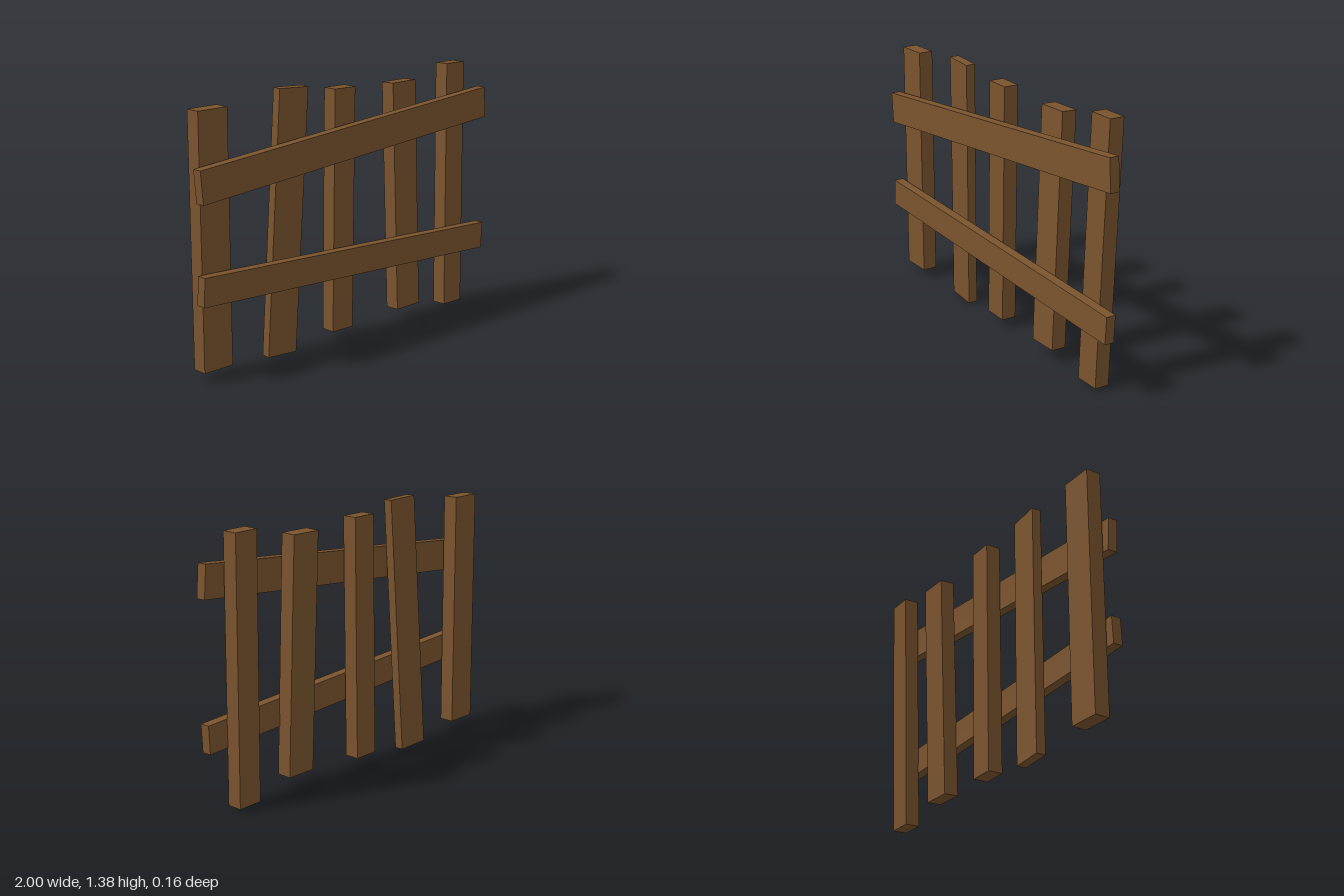
import * as THREE from 'three';

const wood = new THREE.MeshStandardMaterial({ color: 0x7a542e });
wood.name = 'brown wood';

// one sawn board: size, centre and small tilt
function board(name, size, centre, tilt) {
  const mesh = new THREE.Mesh(new THREE.BoxGeometry(...size), wood);
  mesh.name = name;
  mesh.position.set(...centre);
  mesh.rotation.set(...tilt);
  return mesh;
}

export function createModel() {
  const group = new THREE.Group();
  group.name = 'fence';

  // uneven upright pickets, from the fence's right to its left
  const pickets = [
    [[0.174, 1.278, 0.08], [-0.87, 0.695, -0.02], [0, 0, 0]],
    [[0.177, 1.37, 0.05], [-0.4, 0.693, -0.018], [0.027, -0.06, -0.044]],
    [[0.139, 1.278, 0.08], [-0.027, 0.694, -0.022], [0, -0.02, -0.014]],
    [[0.17, 1.234, 0.08], [0.432, 0.695, -0.018], [-0.036, 0, 0.003]],
    [[0.137, 1.355, 0.08], [0.811, 0.695, -0.016], [-0.022, 0, -0.0155]],
  ];
  pickets.forEach((p, i) => group.add(board('picket' + (i + 1), ...p)));

  // two crooked rails across the front
  group.add(board('upperRail', [1.99, 0.167, 0.052], [0, 1.066, 0.055], [0, 0, 0.079]));
  group.add(board('lowerRail', [1.987, 0.145, 0.052], [0, 0.433, 0.055], [0, 0, -0.051]));

  return group;
}
